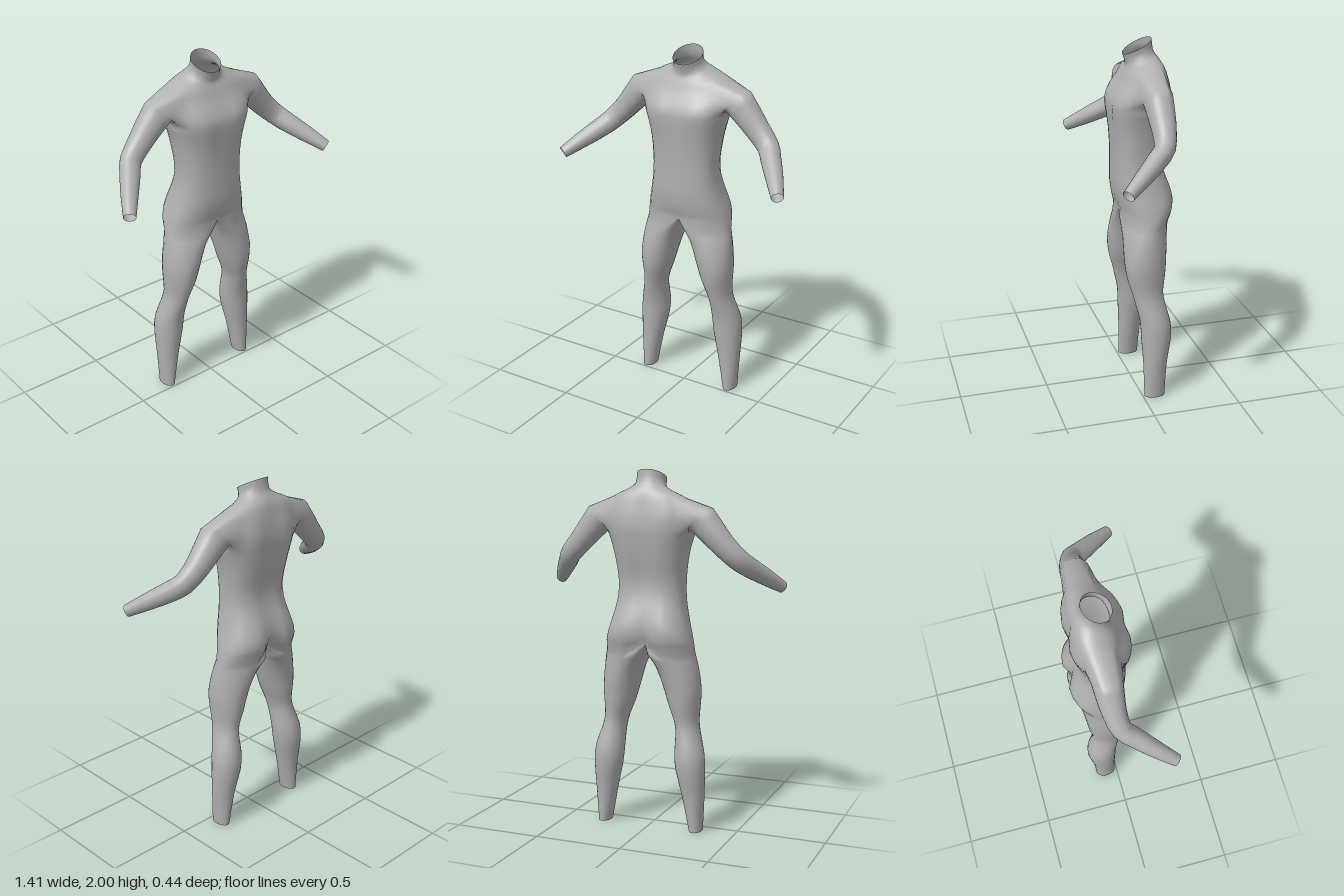
import * as THREE from 'three';
import { mergeVertices } from 'three/addons/utils/BufferGeometryUtils.js';

const HALF = 14; // segments from the front midline round the side to the back midline

// Torso rows: yFront, yBack, half width, zFront, zBack, roundness, front groove, back groove
const TORSO = [
  [1.92, 2.0, 0.083, 0.038, -0.118, 1, 0, 0],
  [1.88, 1.94, 0.086, 0.025, -0.125, 1, 0, 0],
  [1.855, 1.905, 0.135, 0.022, -0.145, 1, 0, 0],
  [1.825, 1.865, 0.215, 0.035, -0.17, 0.9, 0, 0.005],
  [1.78, 1.8, 0.245, 0.055, -0.19, 0.85, 0, 0.015],
  [1.73, 1.74, 0.25, 0.09, -0.203, 0.8, 0.008, 0.02],
  [1.69, 1.69, 0.247, 0.113, -0.206, 0.8, 0.014, 0.02],
  [1.65, 1.65, 0.238, 0.122, -0.204, 0.8, 0.016, 0.02],
  [1.58, 1.58, 0.216, 0.116, -0.195, 0.8, 0.012, 0.02],
  [1.5, 1.5, 0.2, 0.106, -0.18, 0.8, 0.004, 0.018],
  [1.4, 1.4, 0.19, 0.1, -0.16, 0.8, 0, 0.015],
  [1.3, 1.3, 0.192, 0.1, -0.17, 0.8, 0, 0.015],
  [1.2, 1.2, 0.212, 0.1, -0.208, 0.8, 0, 0.03],
  [1.12, 1.12, 0.235, 0.087, -0.226, 0.8, 0, 0.045],
  [1.06, 1.06, 0.25, 0.074, -0.216, 0.85, 0.01, 0.06],
];
// Leg rows: y, inner x, outer x, zFront, zBack, pull of front and back towards the midline
const LEG = [
  [1.0, 0.016, 0.26, 0.073, -0.192, 0.065],
  [0.92, 0.045, 0.275, 0.075, -0.17, 0.025],
  [0.8, 0.08, 0.286, 0.08, -0.155, 0],
  [0.7, 0.112, 0.281, 0.068, -0.145, 0],
  [0.62, 0.142, 0.278, 0.045, -0.132, 0],
  [0.55, 0.155, 0.292, 0.028, -0.14, 0],
  [0.45, 0.156, 0.322, 0.005, -0.165, 0],
  [0.35, 0.166, 0.329, 0, -0.169, 0],
  [0.2, 0.2, 0.325, -0.008, -0.142, 0],
  [0, 0.241, 0.313, -0.01, -0.127, 0],
];
// Arm stations: x, y, z, radius to the front, radius upwards
const ARM = [
  [0.295, 1.738, -0.067, 0.08, 0.086],
  [0.36, 1.667, -0.067, 0.072, 0.075],
  [0.42, 1.6, -0.063, 0.063, 0.066],
  [0.49, 1.53, -0.045, 0.055, 0.06],
  [0.535, 1.485, 0.01, 0.053, 0.056],
  [0.6, 1.428, 0.095, 0.046, 0.048],
  [0.675, 1.36, 0.2, 0.033, 0.033],
];

// Smoothly inserts rows between those of a table
function refine(rows, n) {
  const out = [];
  const at = (i) => rows[Math.min(rows.length - 1, Math.max(0, i))];
  for (let i = 0; i < rows.length - 1; i++) {
    for (let k = 0; k < n; k++) {
      const t = k / n;
      out.push(rows[i].map((p, c) => {
        const q = at(i + 1)[c], m0 = (q - at(i - 1)[c]) / 2, m1 = (at(i + 2)[c] - p) / 2;
        return p + m0 * t + (3 * (q - p) - 2 * m0 - m1) * t * t + (2 * (p - q) + m0 + m1) * t * t * t;
      }));
    }
  }
  out.push(rows[rows.length - 1]);
  return out;
}

function buildSuitGeometry() {
  const verts = [], faces = [];
  const add = (x, y, z) => verts.push([x, y, z]) - 1;
  const quad = (a, b, c, d) => faces.push([a, c, b], [b, c, d]);
  const stitch = (r, s) => r.forEach((_, j) => {
    const k = (j + 1) % r.length;
    quad(r[j], r[k], s[j], s[k]);
  });
  const power = (v, e) => Math.sign(v) * Math.abs(v) ** e;
  const angle = (j) => Math.PI / 2 - (j * Math.PI) / HALF;

  // Torso half, from neck rim to groin
  const torso = refine(TORSO, 2).map(([yf, yb, w, zf, zb, e, nf, nb]) => {
    const ring = [];
    for (let j = 0; j <= HALF; j++) {
      const s = Math.sin(angle(j)), c = j % HALF ? Math.cos(angle(j)) : 0;
      const x = w * power(c, e);
      const groove = Math.max(0, 1 - x / 0.1) ** 2 * (s > 0 ? -nf : nb);
      const z = (zf + zb) / 2 + ((zf - zb) / 2) * power(s, e) + groove;
      ring.push(add(x, yb + (yf - yb) * (s + 1) / 2, z));
    }
    return ring;
  });

  // Leave an armhole in the side of the torso
  const top = 6, bottom = 14, front = 4, back = HALF - 4;
  for (let i = 0; i < torso.length - 1; i++) {
    for (let j = 0; j < HALF; j++) {
      if (i >= top && i < bottom && j >= front && j < back) continue;
      quad(torso[i][j], torso[i][j + 1], torso[i + 1][j], torso[i + 1][j + 1]);
    }
  }

  // Arm, grown from the rim of the armhole
  let ring = [];
  for (let i = bottom; i > top; i--) ring.push(torso[i][front]);
  for (let j = front; j < back; j++) ring.push(torso[top][j]);
  for (let i = top; i < bottom; i++) ring.push(torso[i][back]);
  for (let j = back; j > front; j--) ring.push(torso[bottom][j]);
  const midY = (verts[torso[top][7]][1] + verts[torso[bottom][7]][1]) / 2;
  const turns = ring.map((v) => Math.atan2(verts[v][1] - midY, verts[v][2] + 0.055));
  const arm = refine(ARM, 2);
  arm.forEach(([x, y, z, rf, ru], i) => {
    const a = arm[Math.max(0, i - 1)], b = arm[Math.min(arm.length - 1, i + 1)];
    const along = new THREE.Vector3(b[0] - a[0], b[1] - a[1], b[2] - a[2]).normalize();
    const ahead = new THREE.Vector3(0, 0, 1).addScaledVector(along, -along.z).normalize();
    const up = new THREE.Vector3().crossVectors(ahead, along);
    const next = turns.map((t) => {
      const p = new THREE.Vector3(x, y, z)
        .addScaledVector(ahead, rf * Math.cos(t)).addScaledVector(up, ru * Math.sin(t));
      return add(p.x, p.y, p.z);
    });
    stitch(ring, next);
    ring = next;
  });

  // Leg, closed along the crotch seam on the midline
  const groin = torso[torso.length - 1];
  const zF = verts[groin[0]][2], zB = verts[groin[HALF]][2];
  ring = [...groin];
  for (let j = HALF + 1; j < 2 * HALF; j++) {
    const s = Math.sin(angle(j));
    ring.push(add(0, 1.06 - 0.022 * Math.sqrt(1 - s * s), (zF + zB) / 2 + ((zF - zB) / 2) * s));
  }
  for (const [y, xi, xo, zf, zb, pull] of refine(LEG, 2)) {
    const next = ring.map((_, j) => {
      const s = Math.sin(angle(j)), c = Math.cos(angle(j));
      return add((xi + xo) / 2 + ((xo - xi) / 2) * c - pull * s * s, y, (zf + zb) / 2 + ((zf - zb) / 2) * s);
    });
    stitch(ring, next);
    ring = next;
  }

  // Mirror the half body and weld the midline
  const n = verts.length;
  const positions = [...verts, ...verts.map(([x, y, z]) => [x === 0 ? 0 : -x, y, z])].flat();
  const index = [...faces, ...faces.map(([a, b, c]) => [a + n, c + n, b + n])].flat();
  const geometry = new THREE.BufferGeometry();
  geometry.setAttribute('position', new THREE.Float32BufferAttribute(positions, 3));
  geometry.setIndex(index);
  const welded = mergeVertices(geometry, 1e-5);
  welded.computeVertexNormals();
  return welded;
}

export function createModel() {
  const group = new THREE.Group();
  group.name = 'bodysuit';
  const grey = new THREE.MeshStandardMaterial({ color: 0xb0b0b0, side: THREE.DoubleSide });
  grey.name = 'grey';
  const suit = new THREE.Mesh(buildSuitGeometry(), grey);
  suit.name = 'suitBody';
  group.add(suit);
  return group;
}
